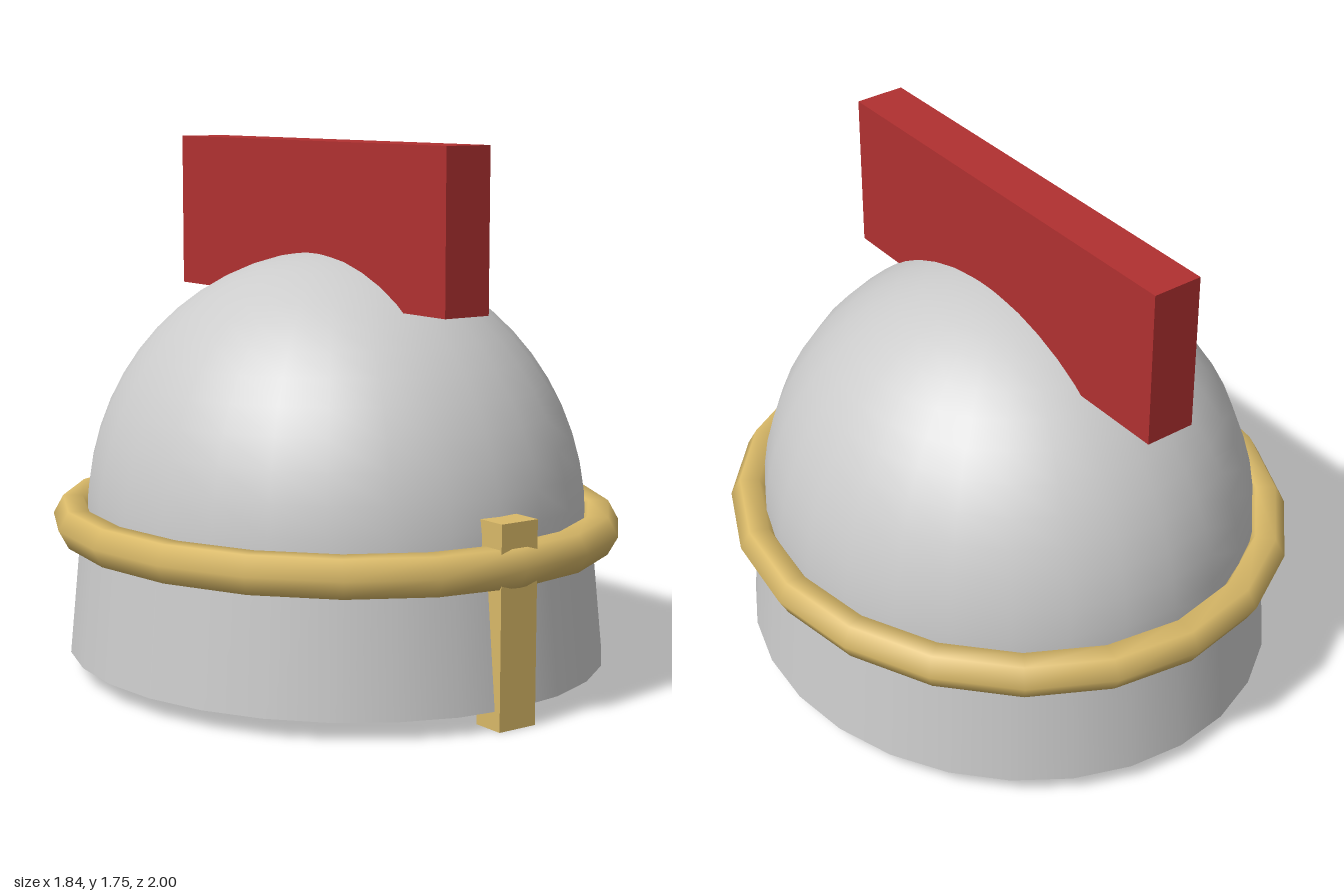
import * as THREE from 'three';

const WIDTH = 0.92; // the helmet is an oval, narrower in x than in z

export function createModel() {
  const group = new THREE.Group();
  const steel = new THREE.MeshStandardMaterial({ color: 0xcccccc, side: THREE.DoubleSide });
  const gold = new THREE.MeshStandardMaterial({ color: 0xd9b968 });
  const red = new THREE.MeshStandardMaterial({ color: 0xb03030 });

  const add = (name, geometry, material, x, y, z) => {
    const mesh = new THREE.Mesh(geometry, material);
    mesh.name = name;
    mesh.position.set(x, y, z);
    group.add(mesh);
    return mesh;
  };

  // Hollow half-sphere shell
  const dome = new THREE.SphereGeometry(0.88, 28, 14, 0, Math.PI * 2, 0, Math.PI / 2);
  add('dome', dome.scale(WIDTH, 0.89 / 0.88, 1), steel, 0, 0.5, 0);

  // Open flared skirt below the dome
  const skirt = new THREE.CylinderGeometry(0.9, 0.945, 0.44, 28, 1, true);
  add('skirt', skirt.scale(WIDTH, 1, 1), steel, 0, 0.28, 0);

  // Six-sided band around the brow
  const band = new THREE.TorusGeometry(0.93, 0.07, 6, 20).rotateX(Math.PI / 2);
  add('browBand', band.scale(WIDTH, 1, 1), gold, 0, 0.5, 0);

  // Nose guard at the front and crest along the top
  add('noseGuard', new THREE.BoxGeometry(0.14, 0.64, 0.11), gold, 0, 0.32, 0.905);
  add('crest', new THREE.BoxGeometry(0.17, 0.52, 1.51), red, 0, 1.49, -0.055);

  return group;
}
